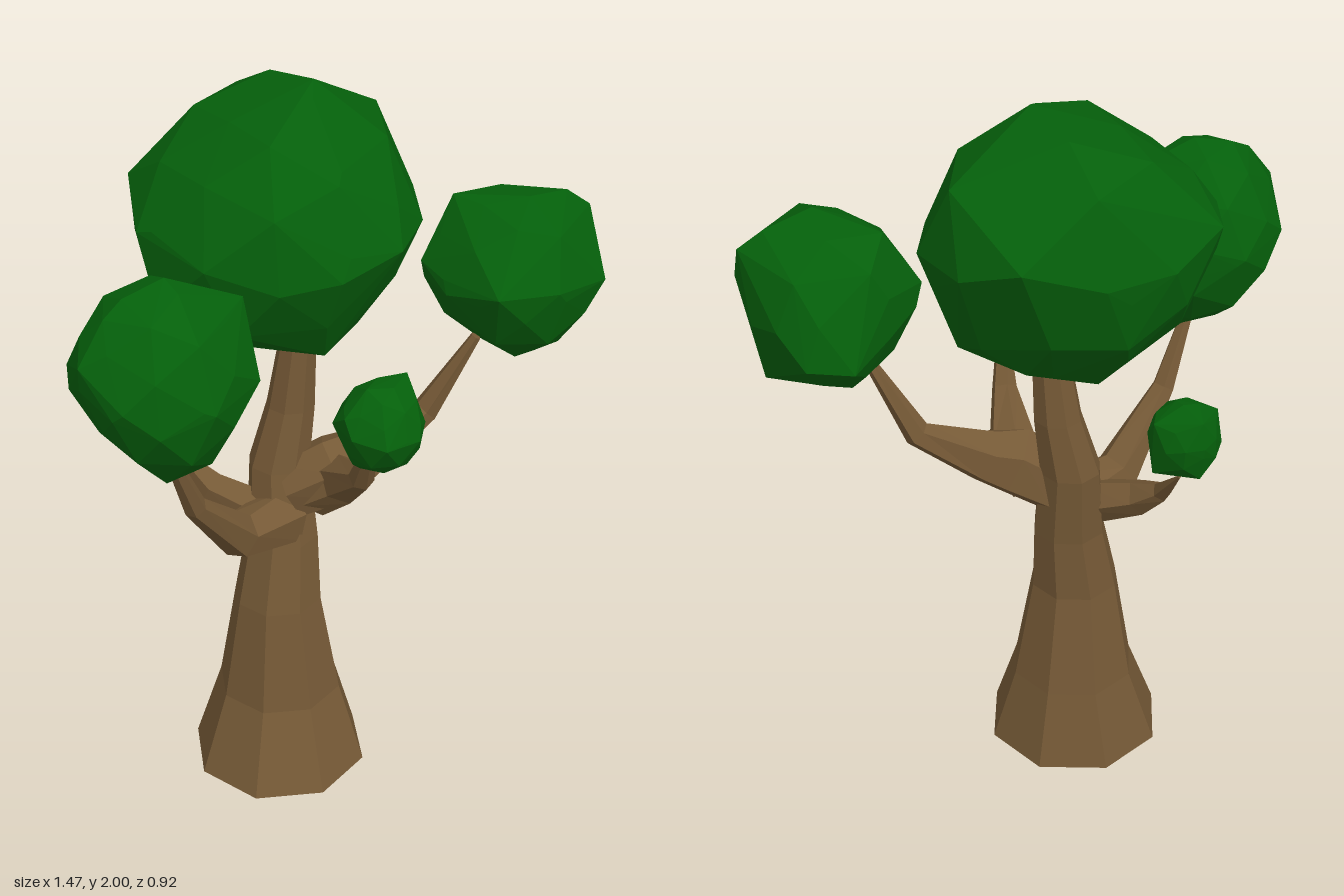
import * as THREE from 'three';
import { ConvexGeometry } from 'three/addons/geometries/ConvexGeometry.js';

const bark = new THREE.MeshStandardMaterial({ color: 0x755936, flatShading: true });
const leaf = new THREE.MeshStandardMaterial({ color: 0x05600b, flatShading: true });

// Faceted limb through rings [x, y, z, radius]; level keeps every ring horizontal
function limb(name, rings, sides, ref, level = false) {
  const centres = rings.map(r => new THREE.Vector3(r[0], r[1], r[2]));
  const pos = [], idx = [], last = rings.length - 1;
  rings.forEach((ring, i) => {
    const t = level ? new THREE.Vector3(0, 1, 0)
      : centres[Math.min(i + 1, last)].clone().sub(centres[Math.max(i - 1, 0)]).normalize();
    const u = t.clone().cross(ref).normalize();
    const v = t.clone().cross(u);
    for (let j = 0; j < sides; j++) {
      const a = j / sides * Math.PI * 2 - 0.09;
      const p = centres[i].clone()
        .addScaledVector(u, Math.cos(a) * ring[3])
        .addScaledVector(v, Math.sin(a) * ring[3]);
      pos.push(p.x, p.y, p.z);
    }
  });
  for (let i = 0; i < last; i++) {
    for (let j = 0; j < sides; j++) {
      const k = (j + 1) % sides;
      const a = i * sides + j, b = i * sides + k, c = b + sides, d = a + sides;
      idx.push(a, b, c, a, c, d);
    }
  }
  // End caps
  const top = last * sides;
  for (let j = 1; j < sides - 1; j++) {
    idx.push(0, j + 1, j, top, top + j, top + j + 1);
  }
  const g = new THREE.BufferGeometry();
  g.setAttribute('position', new THREE.Float32BufferAttribute(pos, 3));
  g.setIndex(idx);
  g.computeVertexNormals();
  const mesh = new THREE.Mesh(g, bark);
  mesh.name = name;
  return mesh;
}

// Leaf clump: convex hull of a faceted ball and a few corners, both in units of the half size.
// Cuts [nx, ny, nz, distance] press flat sides into the ball.
function clump(name, centre, half, corners, cuts = []) {
  const ball = new THREE.IcosahedronGeometry(0.97, 1).rotateX(0.3).rotateY(0.5).attributes.position;
  const points = corners.map(c => new THREE.Vector3(...c));
  for (let i = 0; i < ball.count; i++) {
    const p = new THREE.Vector3().fromBufferAttribute(ball, i);
    cuts.forEach(([x, y, z, dist]) => {
      const reach = p.x * x + p.y * y + p.z * z;
      if (reach > dist) p.multiplyScalar(dist / reach);
    });
    points.push(p);
  }
  const g = new ConvexGeometry(points);
  g.scale(...half);
  g.translate(...centre);
  g.computeVertexNormals();
  const mesh = new THREE.Mesh(g, leaf);
  mesh.name = name;
  return mesh;
}

export function createModel() {
  const tree = new THREE.Group();
  tree.name = 'tree';
  const X = new THREE.Vector3(1, 0, 0), Z = new THREE.Vector3(0, 0, 1);

  // Flared trunk
  tree.add(limb('trunk', [
    [-0.08, 0, -0.017, 0.248], [-0.065, 0.23, -0.035, 0.174], [-0.067, 0.53, -0.037, 0.122],
    [-0.042, 0.72, -0.05, 0.1], [-0.03, 0.93, -0.08, 0.084], [0.005, 1.1, -0.075, 0.066],
    [0.022, 1.3, -0.065, 0.05], [0.03, 1.4, -0.07, 0.035],
  ], 8, Z, true));

  // Branches
  tree.add(limb('rightBranch', [
    [-0.05, 0.785, -0.03, 0.085], [-0.225, 0.81, 0.01, 0.064],
    [-0.395, 1.0, 0.07, 0.032], [-0.5, 1.24, 0.11, 0.014],
  ], 6, Z));
  tree.add(limb('leftBranch', [
    [-0.02, 0.86, -0.04, 0.09], [0.08, 0.92, 0.03, 0.1], [0.16, 0.95, 0.045, 0.077],
    [0.335, 1.045, 0.09, 0.037], [0.44, 1.27, 0.16, 0.014],
  ], 6, Z));
  tree.add(limb('frontBranch', [
    [0.03, 0.86, 0.0, 0.08], [0.06, 0.925, 0.09, 0.07],
    [0.015, 1.02, 0.23, 0.035], [-0.02, 1.17, 0.31, 0.015],
  ], 6, X));
  tree.add(limb('backBranch', [
    [-0.1, 0.79, -0.06, 0.065], [-0.19, 0.845, -0.175, 0.05],
    [-0.215, 0.9, -0.25, 0.027], [-0.205, 1.015, -0.355, 0.004],
  ], 5, X));

  // Leaf clumps
  tree.add(clump('crownLeaves', [-0.01, 1.64, -0.115], [0.38, 0.36, 0.345], [
    [0.24, 1, 0.1], [0.2, 0.92, -0.39], [0.89, 0.61, -0.1], [0.74, 0.3, -0.88], [0.2, 0.69, -0.83],
    [-0.72, 0.25, -0.77], [0.21, 0.1, -1], [-0.29, 0.1, -0.97], [-1, 0.11, -0.16], [-0.95, -0.44, 0],
    [-0.5, -0.86, 0], [0.16, -0.98, 0.15], [0.82, -0.64, 0], [1, 0.03, 0.22], [0.97, 0.1, -0.42],
    [0.37, 0, 1], [-0.11, -0.1, 1], [0, -0.86, 0.62], [0.76, 0, 0.68], [0, -0.94, -0.45],
    [0, -0.44, -0.89], [0, 0.51, 0.78], [0.5, -0.75, -0.4],
  ], [[-0.6, 0.8, 0, 0.82], [0, 0.79, 0.62, 0.89]]));
  tree.add(clump('rightLeaves', [-0.517, 1.44, 0.12], [0.222, 0.27, 0.22], [
    [0.98, 0.67, 0.2], [0.98, -0.67, -0.05], [0.12, 1, 0], [0.39, -1, -0.1], [-0.15, -0.89, 0],
    [-1, 0.41, 0.05], [-0.64, 0.78, 0], [-0.82, -0.22, 0.2], [-0.06, 0, -1], [0.7, -0.2, -0.7],
    [0.9, 0, 0.64], [0.1, 0, 1], [-0.8, 0.1, 0.6], [-0.73, 0.1, -0.7],
  ], [[-0.707, -0.707, 0, 0.76]]));
  tree.add(clump('leftLeaves', [0.515, 1.452, 0.187], [0.22, 0.232, 0.242], [
    [0.07, 1, 0.22], [0.7, 0.89, 0.15], [-0.48, 0.9, -0.45], [0.98, 0.68, 0.25], [0.98, 0.29, 0.4],
    [0.8, -0.91, 0.15], [-0.07, -1, -0.32], [-0.8, -0.31, 0], [-0.93, 0.2, -0.45], [0.16, -0.4, -1],
    [0.66, -0.35, -0.8], [0.66, 0.1, 0.88], [-0.16, 0.2, 1], [-0.84, 0.2, 0.75], [-0.98, 0, 0.05],
    [0, 0.76, 0.79], [0, -0.78, 0.5], [-0.2, 0.6, -0.72],
  ], [[0, 0.32, -0.95, 0.8], [-0.43, 0, -0.9, 0.83], [-0.69, -0.73, 0, 0.8]]));
  tree.add(clump('frontLeaves', [-0.015, 1.247, 0.345], [0.115, 0.127, 0.115], [
    [-0.98, 0.45, 0], [-0.4, 0.95, 0], [0.8, 0.9, -0.15], [0.97, 0.1, -0.3], [0.7, -0.85, 0],
    [-0.1, -1, 0], [-0.75, -0.65, 0], [-0.9, 0.1, -0.55], [-0.05, 0, -1], [0.65, 0, -0.8],
    [0.3, 0, 1], [-0.55, 0, 0.95], [-1, 0.1, 0.3],
  ]));
  tree.add(clump('backLeaves', [-0.215, 1.135, -0.355], [0.095, 0.105, 0.105], [
    [-1, 0.55, 0], [0.15, 1, -0.1], [0.95, 0.6, 0], [0.95, -0.8, 0], [-0.1, -1, 0.2],
    [-0.8, -0.5, 0], [0, 0.15, 1], [0, 0.85, -0.85], [0, 0.2, -1], [0, -0.75, -0.8], [0.2, -0.95, 0.4],
  ]));

  return tree;
}
